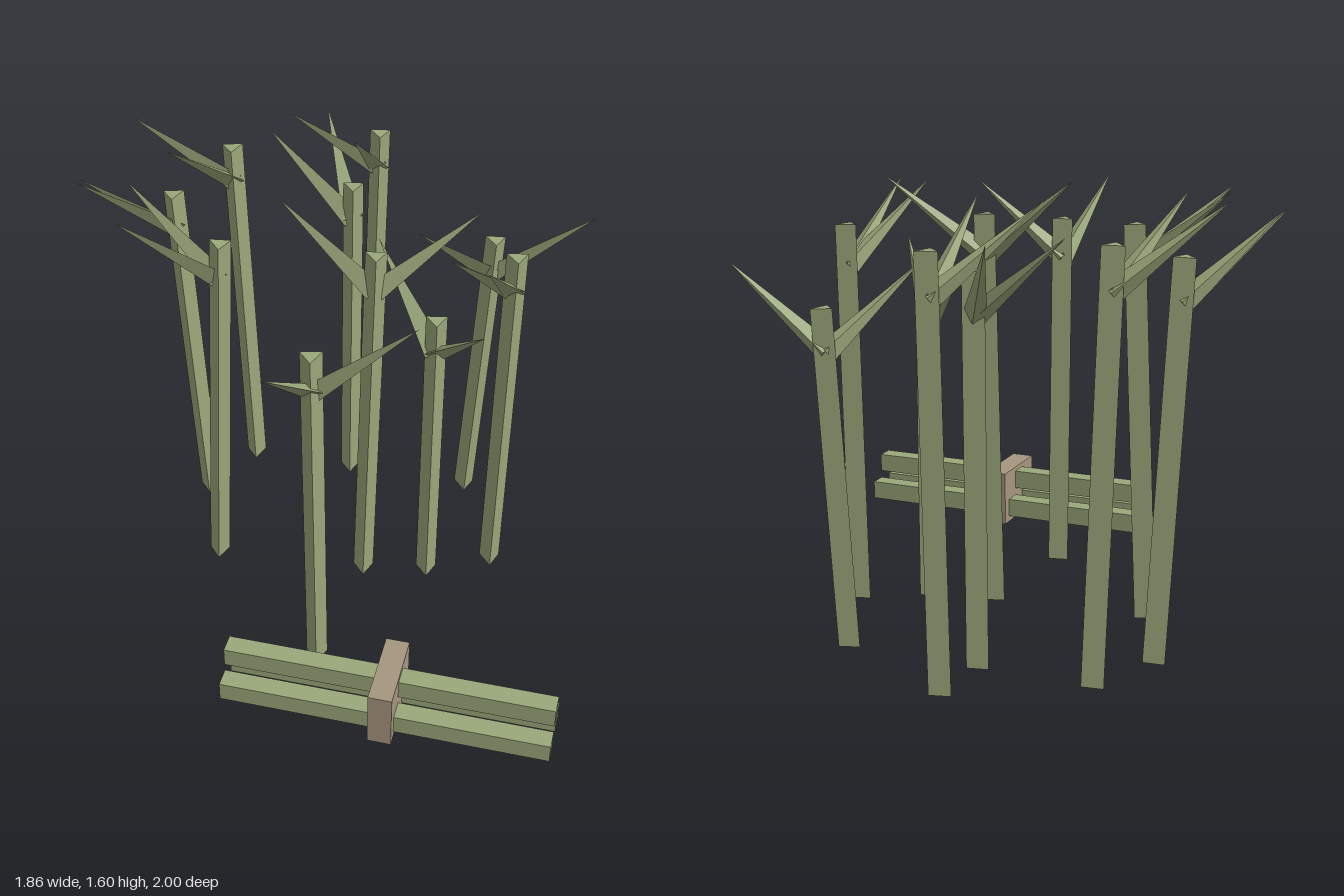
import * as THREE from 'three';

const green = new THREE.MeshStandardMaterial({ color: 0x9aa77a, flatShading: true });
green.name = 'stalkGreen';
const tan = new THREE.MeshStandardMaterial({ color: 0xa6967f, flatShading: true });
tan.name = 'bindingTan';

// [base x, top x, z, height, leaf tips as x, z pairs]
const STALKS = [
  [-0.54, -0.613, -0.495, 1.39, [[-0.93, -0.32], [-0.92, -0.345]]],
  [-0.365, -0.415, -0.725, 1.46, [[-0.77, -0.68], [-0.62, -0.43]]],
  [-0.465, -0.405, -0.1, 1.43, [[-0.74, -0.27], [-0.745, 0.01]]],
  [0.11, 0.135, -0.875, 1.45, [[-0.2, -0.755], [0.045, -0.54]]],
  [0.035, 0.04, -0.645, 1.35, [[-0.07, -1.0], [-0.28, -0.81]]],
  [0.51, 0.575, -0.545, 1.19, [[0.93, -0.48], [0.28, -0.35]]],
  [0.105, 0.135, -0.025, 1.44, [[-0.2, -0.15], [0.49, -0.09]]],
  [0.35, 0.35, -0.025, 1.18, [[0.14, -0.33], [0.5, 0.28]]],
  [0.6, 0.62, -0.095, 1.4, [[0.38, 0.16], [0.5, 0.235]]],
  [-0.055, -0.065, 0.45, 1.36, [[-0.2, 0.78], [0.28, 0.49]]],
];

// three-sided pointed leaf, flat towards +z before it is tilted
function makeLeaf(root, tip) {
  const dir = tip.clone().sub(root);
  const length = dir.length();
  const geo = new THREE.ConeGeometry(0.045, length, 3, 1);
  geo.rotateY(Math.PI);
  geo.scale(1, 1, 0.55);
  geo.translate(0, length / 2, 0);
  const leaf = new THREE.Mesh(geo, green);
  leaf.name = 'leaf';
  leaf.position.copy(root);
  leaf.quaternion.setFromUnitVectors(new THREE.Vector3(0, 1, 0), dir.normalize());
  return leaf;
}

// triangular stalk leaning sideways, with two leaves near the top
function makeStalk([baseX, topX, z, height, tips]) {
  const group = new THREE.Group();
  group.name = 'bambooStalk';
  const lean = topX - baseX;
  const stem = new THREE.Mesh(new THREE.CylinderGeometry(0.044, 0.044, Math.hypot(height, lean), 3), green);
  stem.name = 'stem';
  stem.position.set((baseX + topX) / 2, height / 2, z);
  stem.rotation.z = -Math.atan2(lean, height);
  group.add(stem);

  const rootY = height - 0.15;
  const root = new THREE.Vector3(baseX + lean * rootY / height, rootY, z - 0.01);
  for (const [x, tz] of tips) group.add(makeLeaf(root, new THREE.Vector3(x, height + 0.14, tz)));
  return group;
}

// three cut poles held by a band
function makeBundle() {
  const group = new THREE.Group();
  group.name = 'poleBundle';
  for (const [y, z] of [[0.12, -0.068], [0.12, 0.068], [0.222, 0]]) {
    const pole = new THREE.Mesh(new THREE.BoxGeometry(1.166, 0.072, 0.07), green);
    pole.name = 'cutPole';
    pole.position.set(0, y, z);
    group.add(pole);
  }
  const band = new THREE.Mesh(new THREE.BoxGeometry(0.084, 0.215, 0.285), tan);
  band.name = 'binding';
  band.position.y = 0.168;
  group.add(band);
  group.position.set(0.21, 0, 0.778);
  group.rotation.y = -0.21;
  return group;
}

export function createModel() {
  const model = new THREE.Group();
  model.name = 'bambooGrove';
  for (const s of STALKS) model.add(makeStalk(s));
  model.add(makeBundle());
  return model;
}
